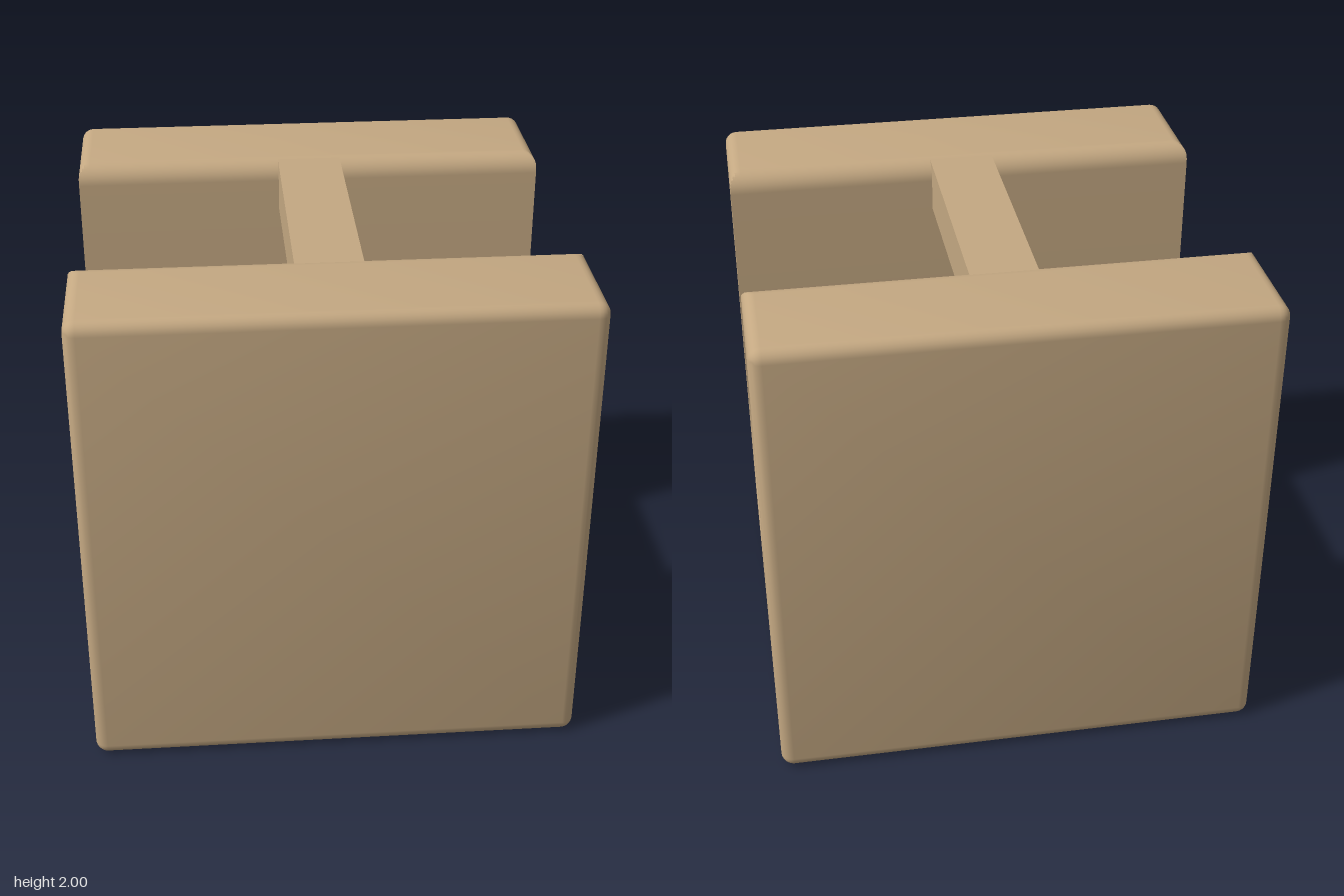
import * as THREE from 'three';
import { toCreasedNormals, mergeGeometries } from 'three/addons/utils/BufferGeometryUtils.js';

const R = 0.05;                                  // outer edge rounding
const SLOT = { r: 0.48, y: 0.97, lip: 0.08 };    // U channel and its rounded lips

function arc(points, cx, cy, r, from, to, steps) {
  for (let i = 0; i <= steps; i++) {
    const a = Math.PI * (from + (to - from) * i / steps);
    points.push(new THREE.Vector2(cx + r * Math.cos(a), cy + r * Math.sin(a)));
  }
}

// Block cross-section; the outer edges are inset by d while the channel keeps its size
function outline(d) {
  const p = [], c = 1 - R, r = R - d + 0.001, lipX = SLOT.r + SLOT.lip, lipY = 2 - SLOT.lip;
  arc(p, -c, R, r, 1, 1.5, 6);
  arc(p, c, R, r, 1.5, 2, 6);
  arc(p, c, 2 - R, r, 0, 0.5, 6);
  arc(p, lipX, lipY, SLOT.lip, 0.5, 1, 8);
  arc(p, 0, SLOT.y, SLOT.r, 0, -1, 32);
  arc(p, -lipX, lipY, SLOT.lip, 0, 0.5, 8);
  arc(p, -c, 2 - R, r, 0.5, 1, 6);
  p.forEach(v => { v.y = Math.min(v.y, 2 - d); });
  return p;
}

function blockGeometry() {
  // Rings along the channel, rounding off at both ends
  const rings = [], steps = 6;
  for (const side of [-1, 1]) {
    for (let i = 0; i <= steps; i++) {
      const t = (side < 0 ? steps - i : i) / steps * Math.PI / 2;
      rings.push({ z: side * (1 - R + R * Math.sin(t)), pts: outline(R * (1 - Math.cos(t))) });
    }
  }
  const pos = [];
  const n = rings[0].pts.length;
  const put = (ring, j) => pos.push(ring.pts[j % n].x, ring.pts[j % n].y, ring.z);
  for (let i = 0; i < rings.length - 1; i++) {
    const a = rings[i], b = rings[i + 1];
    for (let j = 0; j < n; j++) {
      put(a, j); put(a, j + 1); put(b, j + 1);
      put(a, j); put(b, j + 1); put(b, j);
    }
  }
  let skin = new THREE.BufferGeometry();
  skin.setAttribute('position', new THREE.Float32BufferAttribute(pos, 3));
  skin = toCreasedNormals(skin, 0.6).rotateY(Math.PI / 2);

  // Flat end faces
  const caps = [-1, 1].map(s => {
    const cap = new THREE.ShapeGeometry(new THREE.Shape(outline(R))).toNonIndexed();
    cap.deleteAttribute('uv');
    return cap.rotateY(s * Math.PI / 2).translate(s, 0, 0);
  });
  return mergeGeometries([skin, ...caps]);
}

// Thin tongue that follows the channel with a small clearance
function tongueGeometry(halfThickness) {
  const p = [new THREE.Vector2(-0.405, 1.67)];
  arc(p, 0, SLOT.y, 0.405, 1, 2, 32);
  p.push(new THREE.Vector2(0.405, 1.67));
  const g = new THREE.ExtrudeGeometry(new THREE.Shape(p), { depth: 2 * halfThickness, bevelEnabled: false });
  return toCreasedNormals(g.translate(0, 0, -halfThickness).rotateY(Math.PI / 2), 0.5);
}

export function createModel() {
  const group = new THREE.Group();
  const tan = new THREE.MeshStandardMaterial({ color: 0xc4a882 });
  tan.name = 'tan';

  const add = (name, geometry, y = 0) => {
    const mesh = new THREE.Mesh(geometry, tan);
    mesh.name = name;
    mesh.position.y = y;
    group.add(mesh);
  };

  add('channelBlock', blockGeometry());
  // Bridge across the channel, its ends sunk into the rounded lips
  add('topBridge', new THREE.BoxGeometry(0.27, 0.208, 1.08), 1.892);
  add('crossRail', new THREE.BoxGeometry(0.09, 0.105, 0.96), 1.7175);
  add('hangingTongue', tongueGeometry(0.02));
  return group;
}
